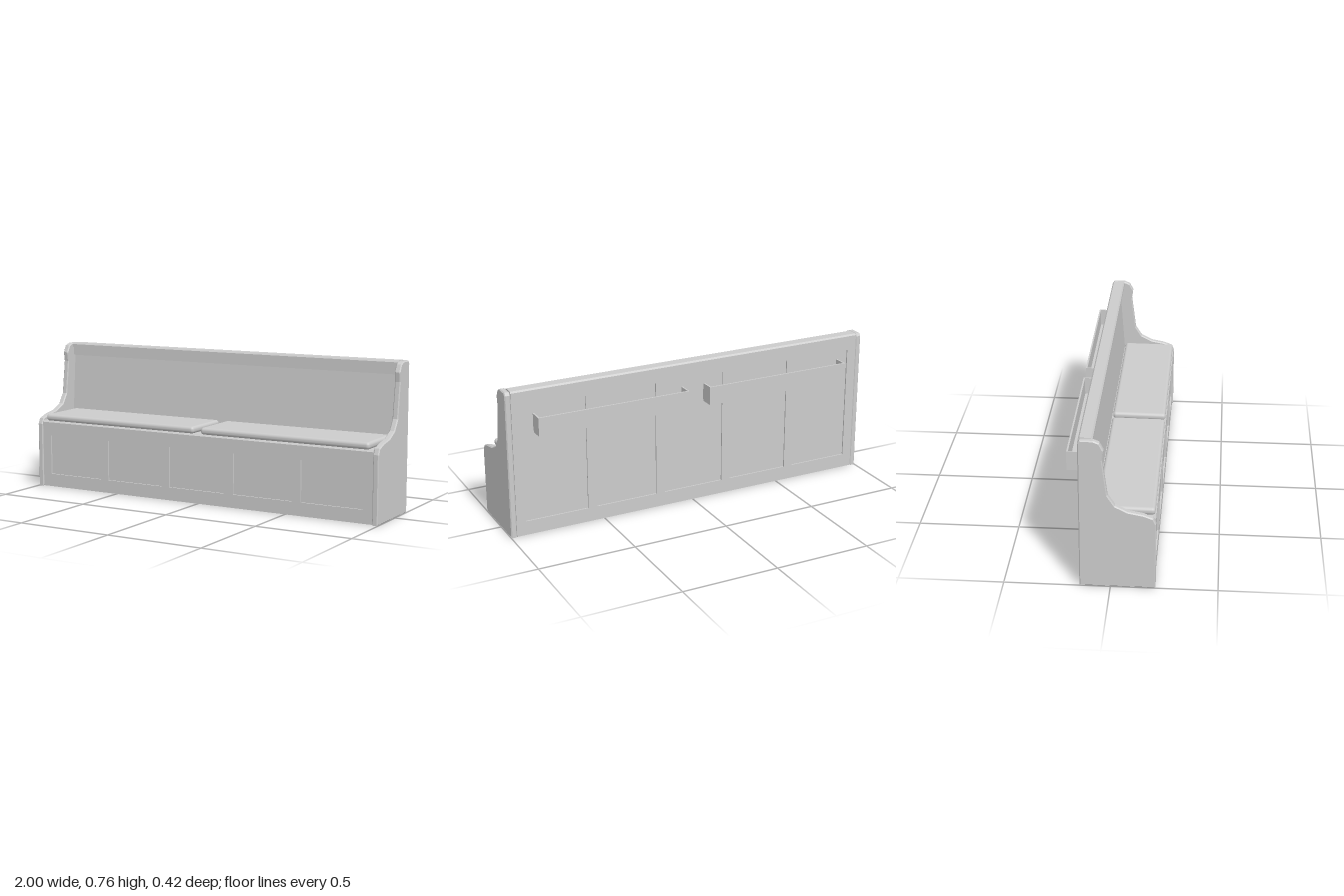
import * as THREE from 'three';
import { RoundedBoxGeometry } from 'three/addons/geometries/RoundedBoxGeometry.js';

const material = new THREE.MeshStandardMaterial({ color: 0xcccccc });
const smoothless = new THREE.MeshStandardMaterial({ color: 0xcccccc, flatShading: true });

function add(parent, name, geometry, mat = material) {
  const mesh = new THREE.Mesh(geometry, mat);
  mesh.name = name;
  parent.add(mesh);
  return mesh;
}

// Box given by its lower and upper limits on each axis
function box(parent, name, x0, x1, y0, y1, z0, z1) {
  const mesh = add(parent, name, new THREE.BoxGeometry(x1 - x0, y1 - y0, z1 - z0));
  mesh.position.set((x0 + x1) / 2, (y0 + y1) / 2, (z0 + z1) / 2);
  return mesh;
}

// Side profile of [z, y] points extruded along x, edges optionally eased
function profile(parent, name, points, x0, x1, bevel = 0) {
  const shape = new THREE.Shape(points.map(([z, y]) => new THREE.Vector2(z, y)));
  const geometry = new THREE.ExtrudeGeometry(shape, {
    depth: x1 - x0 - 2 * bevel,
    bevelEnabled: bevel > 0,
    bevelThickness: bevel,
    bevelSize: bevel,
    bevelOffset: -bevel,
    bevelSegments: 1,
  });
  geometry.rotateY(-Math.PI / 2);
  geometry.translate(x1 - bevel, 0, 0);
  return add(parent, name, geometry, smoothless);
}

// Raised rails and stiles around five sunken panels
function frame(parent, name, bottom, low, high, top, z0, z1) {
  const group = new THREE.Group();
  group.name = name;
  box(group, 'bottomRail', -0.97, 0.97, bottom, low, z0, z1);
  box(group, 'topRail', -0.97, 0.97, high, top, z0, z1);
  for (const [a, b] of [[-0.97, -0.92], [-0.595, -0.547], [-0.215, -0.167],
    [0.162, 0.21], [0.54, 0.588], [0.92, 0.97]]) {
    box(group, 'stile', a, b, low, high, z0, z1);
  }
  parent.add(group);
}

export function createModel() {
  const bench = new THREE.Group();
  bench.name = 'bench';

  // Curved end boards
  const endProfile = [
    [-0.145, 0], [0.21, 0], [0.21, 0.34], [0.197, 0.37], [0.15, 0.387], [0.08, 0.4],
    [0.022, 0.43], [-0.012, 0.483], [-0.035, 0.66], [-0.028, 0.708],
    [-0.047, 0.745], [-0.075, 0.757], [-0.135, 0.757], [-0.145, 0.742],
  ];
  profile(bench, 'rightEnd', endProfile, -1, -0.97, 0.005);
  profile(bench, 'leftEnd', endProfile, 0.97, 1, 0.005);

  // Backrest with a gently sloping front face
  profile(bench, 'backrest', [
    [-0.137, 0.002], [-0.085, 0.002], [-0.075, 0.36], [-0.103, 0.74], [-0.137, 0.74],
  ], -0.97, 0.97);
  frame(bench, 'backFrame', 0.002, 0.075, 0.675, 0.74, -0.144, -0.135);

  // Moulded top rail and cap
  box(bench, 'frontTopRail', -0.97, 0.97, 0.69, 0.738, -0.11, -0.088);
  profile(bench, 'topCap', [
    [-0.144, 0.735], [-0.078, 0.735], [-0.078, 0.75], [-0.085, 0.758],
    [-0.137, 0.758], [-0.144, 0.75],
  ], -0.97, 0.97);

  // Seat board with an eased nose
  profile(bench, 'seat', [
    [-0.09, 0.33], [0.208, 0.33], [0.208, 0.352], [0.2, 0.36], [-0.09, 0.36],
  ], -0.97, 0.97);

  // Panelled front, hollow behind
  box(bench, 'frontPanel', -0.97, 0.97, 0.002, 0.33, 0.183, 0.195);
  frame(bench, 'frontFrame', 0.002, 0.07, 0.28, 0.33, 0.19, 0.204);

  // Two seat cushions
  for (const [name, x0, x1] of [['rightCushion', -0.95, -0.023], ['leftCushion', 0.018, 0.947]]) {
    const cushion = add(bench, name, new RoundedBoxGeometry(x1 - x0, 0.036, 0.272, 4, 0.016));
    cushion.position.set((x0 + x1) / 2, 0.378, 0.068);
    cushion.rotation.x = 0.01;
  }

  // Open-topped book racks on the back
  for (const [name, x0, x1] of [['rightRack', -0.865, -0.06], ['leftRack', 0.055, 0.86]]) {
    const rack = new THREE.Group();
    rack.name = name;
    const t = 0.008;
    box(rack, 'rackBase', x0, x1, 0.535, 0.535 + t, -0.21, -0.143);
    box(rack, 'rackFront', x0, x1, 0.535 + t, 0.63, -0.21, -0.21 + t);
    box(rack, 'rackEnd', x0, x0 + t, 0.535 + t, 0.63, -0.21 + t, -0.136);
    box(rack, 'rackEnd', x1 - t, x1, 0.535 + t, 0.63, -0.21 + t, -0.136);
    bench.add(rack);
  }

  return bench;
}
